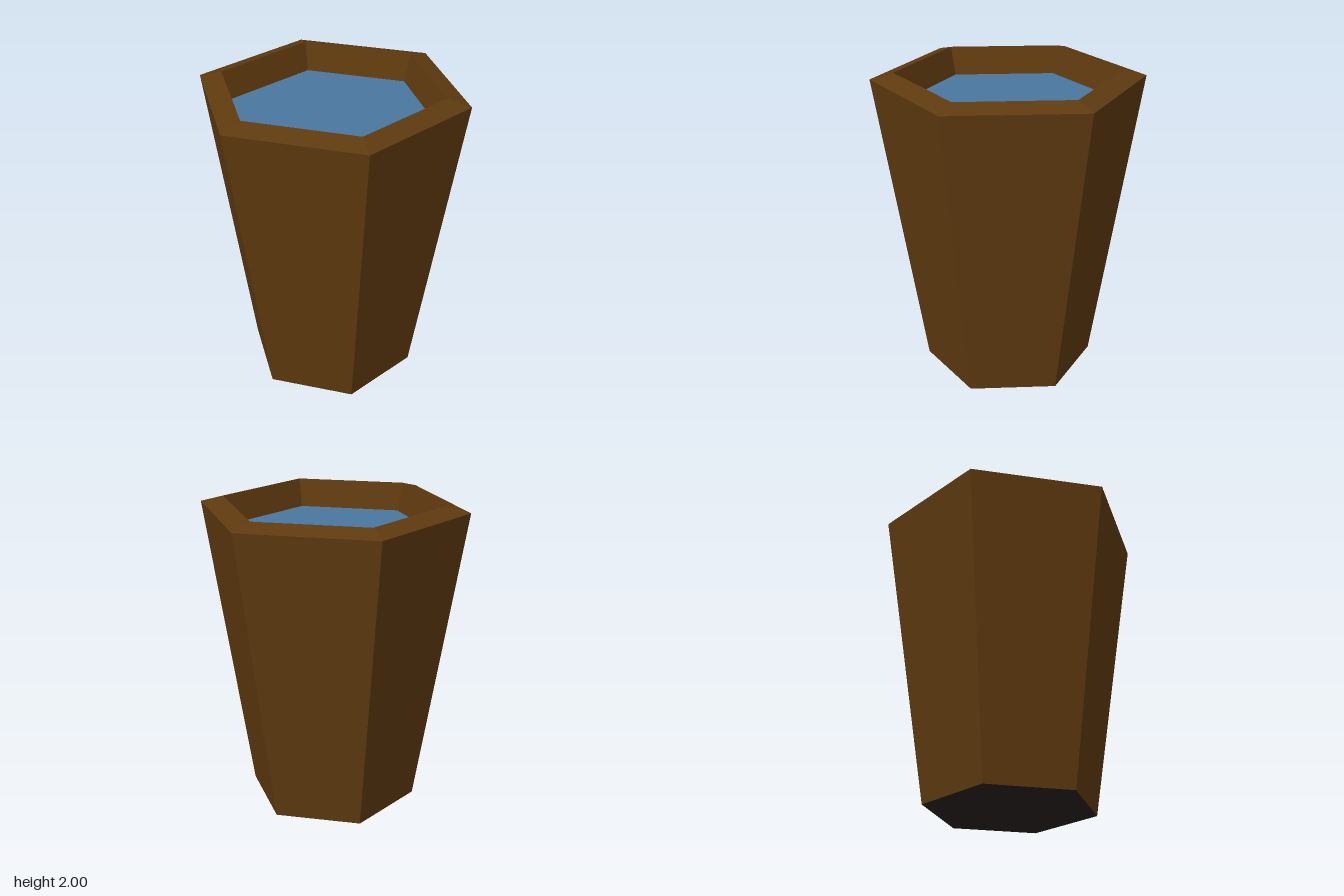
import * as THREE from 'three';

const SIDES = 6;

export function createModel() {
  const wood = new THREE.MeshStandardMaterial({ color: 0x5f3a0f, flatShading: true });
  wood.name = 'brown wood';
  const water = new THREE.MeshStandardMaterial({ color: 0x4b779f, flatShading: true });
  water.name = 'blue water';
  const base = new THREE.MeshStandardMaterial({ color: 0x2a2222, flatShading: true });
  base.name = 'dark base';

  const group = new THREE.Group();
  group.name = 'hexagonalTub';

  const add = (name, geometry, material, y = 0) => {
    const mesh = new THREE.Mesh(geometry, material);
    mesh.name = name;
    mesh.position.y = y;
    group.add(mesh);
  };

  // Six-sided shell with corners on the x axis
  const shell = (profile) => new THREE.LatheGeometry(
    profile.map(([r, y]) => new THREE.Vector2(r, y)), SIDES, Math.PI / 2);

  // Flat hexagon facing up (1) or down (-1)
  const hexagon = (radius, facing) =>
    new THREE.CircleGeometry(radius, SIDES).rotateX(-facing * Math.PI / 2);

  // Flared outer wall, bevelled rim and short inner wall
  add('outerWall', shell([[0.555, 0], [0.86, 1.96]]), wood);
  add('rim', shell([[0.86, 1.96], [0.713, 2]]), wood);
  add('innerWall', shell([[0.713, 2], [0.66, 1.82]]), wood);

  // Water surface inside the rim, and the underside
  add('waterSurface', hexagon(0.66, 1), water, 1.82);
  add('underside', hexagon(0.555, -1), base);

  return group;
}
